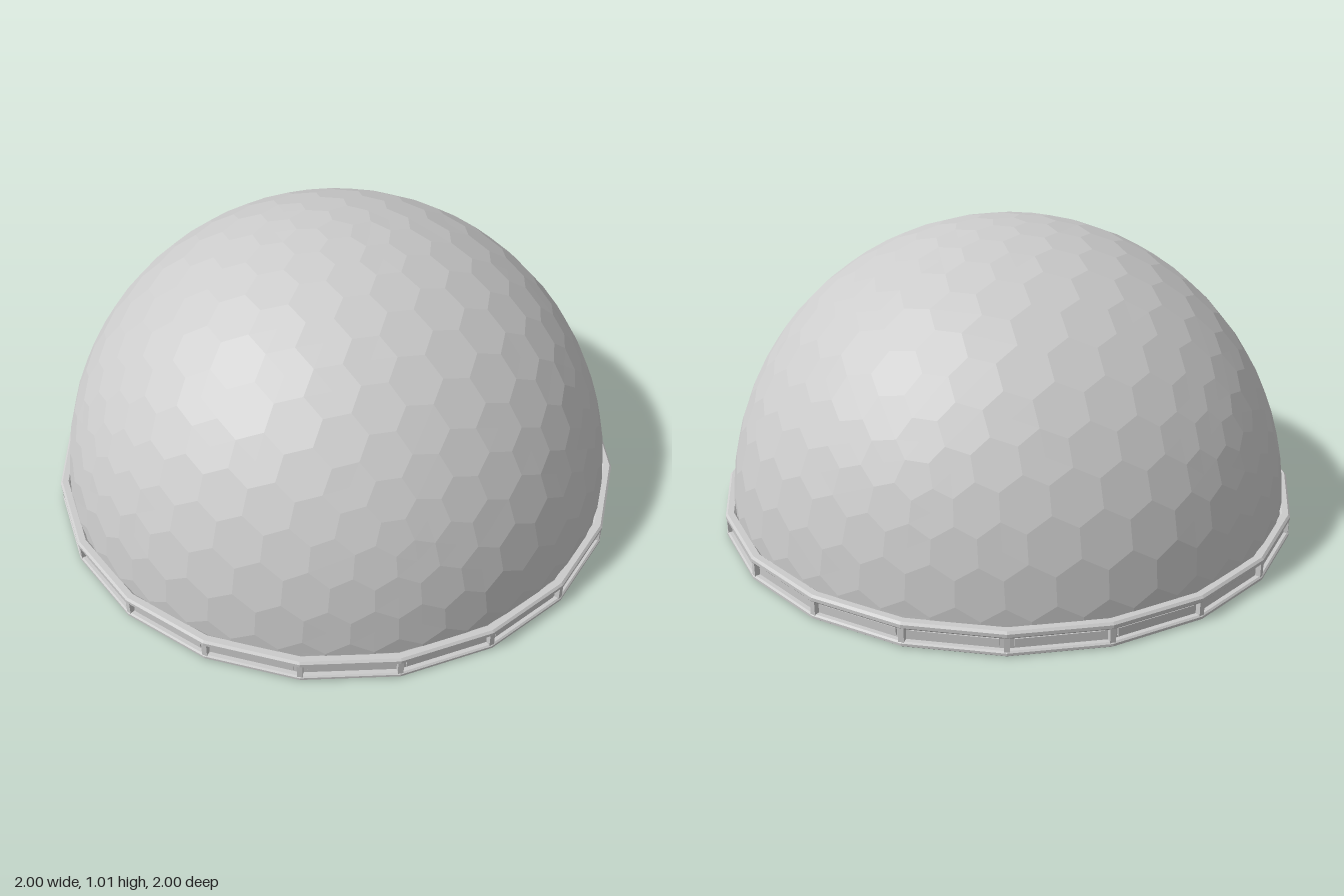
import * as THREE from 'three';

const SIDES = 20, RADIUS = 0.965, CENTRE_Y = 0.05;
const material = new THREE.MeshStandardMaterial({ color: 0xcccccc, flatShading: true });
const shellMaterial = new THREE.MeshStandardMaterial({ color: 0xcccccc, flatShading: true, side: THREE.DoubleSide });

// Keep the part of a polygon above y = 0
function clipAbove(poly) {
  const out = [];
  poly.forEach((a, i) => {
    const b = poly[(i + 1) % poly.length];
    if (a.y >= 0) out.push(a);
    if ((a.y >= 0) !== (b.y >= 0)) out.push(a.clone().lerp(b, a.y / (a.y - b.y)));
  });
  return out;
}

// Hexagon-faceted hemisphere: the dual of a subdivided icosahedron
function domeGeometry() {
  const ico = new THREE.IcosahedronGeometry(1, 7);
  ico.rotateZ(Math.atan(2 / (1 + Math.sqrt(5)))); // one corner straight up
  const pos = ico.attributes.position;
  const cells = new Map();
  for (let i = 0; i < pos.count; i += 3) {
    const tri = [0, 1, 2].map((k) => new THREE.Vector3().fromBufferAttribute(pos, i + k));
    const centre = tri[0].clone().add(tri[1]).add(tri[2]).setLength(RADIUS);
    for (const v of tri) {
      const key = v.toArray().map((c) => Math.round(c * 1000 + 0.137)).join();
      if (!cells.has(key)) cells.set(key, { normal: v, corners: [] });
      cells.get(key).corners.push(centre);
    }
  }
  const verts = [];
  for (const { normal, corners } of cells.values()) {
    const u = corners[0].clone().projectOnPlane(normal).normalize();
    const w = normal.clone().cross(u);
    const angle = (p) => Math.atan2(p.dot(w), p.dot(u));
    corners.sort((a, b) => angle(a) - angle(b));
    const poly = clipAbove(corners);
    if (poly.length < 3) continue;
    const mid = new THREE.Vector3();
    poly.forEach((p) => mid.addScaledVector(p, 1 / poly.length));
    poly.forEach((p, i) => verts.push(...mid, ...p, ...poly[(i + 1) % poly.length]));
  }
  const geo = new THREE.BufferGeometry();
  geo.setAttribute('position', new THREE.Float32BufferAttribute(verts, 3));
  geo.computeVertexNormals();
  return geo;
}

export function createModel() {
  const model = new THREE.Group();
  const add = (name, geo, mat, parent = model) => {
    const mesh = new THREE.Mesh(geo, mat);
    mesh.name = name;
    parent.add(mesh);
    return mesh;
  };

  add('dome', domeGeometry(), shellMaterial).position.y = CENTRE_Y;

  // Base ring: rounded upper and lower rails around a recessed band
  const profile = [
    [0.966, 0], [0.994, 0], [1, 0.005], [1, 0.013], [0.995, 0.018], [0.981, 0.018],
    [0.981, 0.06], [0.995, 0.06], [1, 0.066], [1, 0.077], [0.993, 0.084], [0.972, 0.084],
    [0.966, 0.078], [0.966, 0],
  ].map(([r, y]) => new THREE.Vector2(r, y));
  add('baseRing', new THREE.LatheGeometry(profile, SIDES), material);

  // Posts at the ring corners and raised panels between them
  const step = (Math.PI * 2) / SIDES;
  const postGeo = new THREE.BoxGeometry(0.018, 0.05, 0.02);
  const panelGeo = new THREE.BoxGeometry(0.265, 0.026, 0.012);
  const apothem = Math.cos(step / 2);
  const posts = new THREE.Group();
  const panels = new THREE.Group();
  posts.name = 'ringPosts';
  panels.name = 'ringPanels';
  model.add(posts, panels);
  const place = (mesh, r, a) => {
    mesh.position.set(Math.sin(a) * r, 0.039, Math.cos(a) * r);
    mesh.rotation.y = a;
  };
  for (let i = 0; i < SIDES; i++) {
    place(add('post', postGeo, material, posts), 0.987, i * step);
    place(add('panel', panelGeo, material, panels), 0.981 * apothem, (i + 0.5) * step);
  }
  return model;
}
